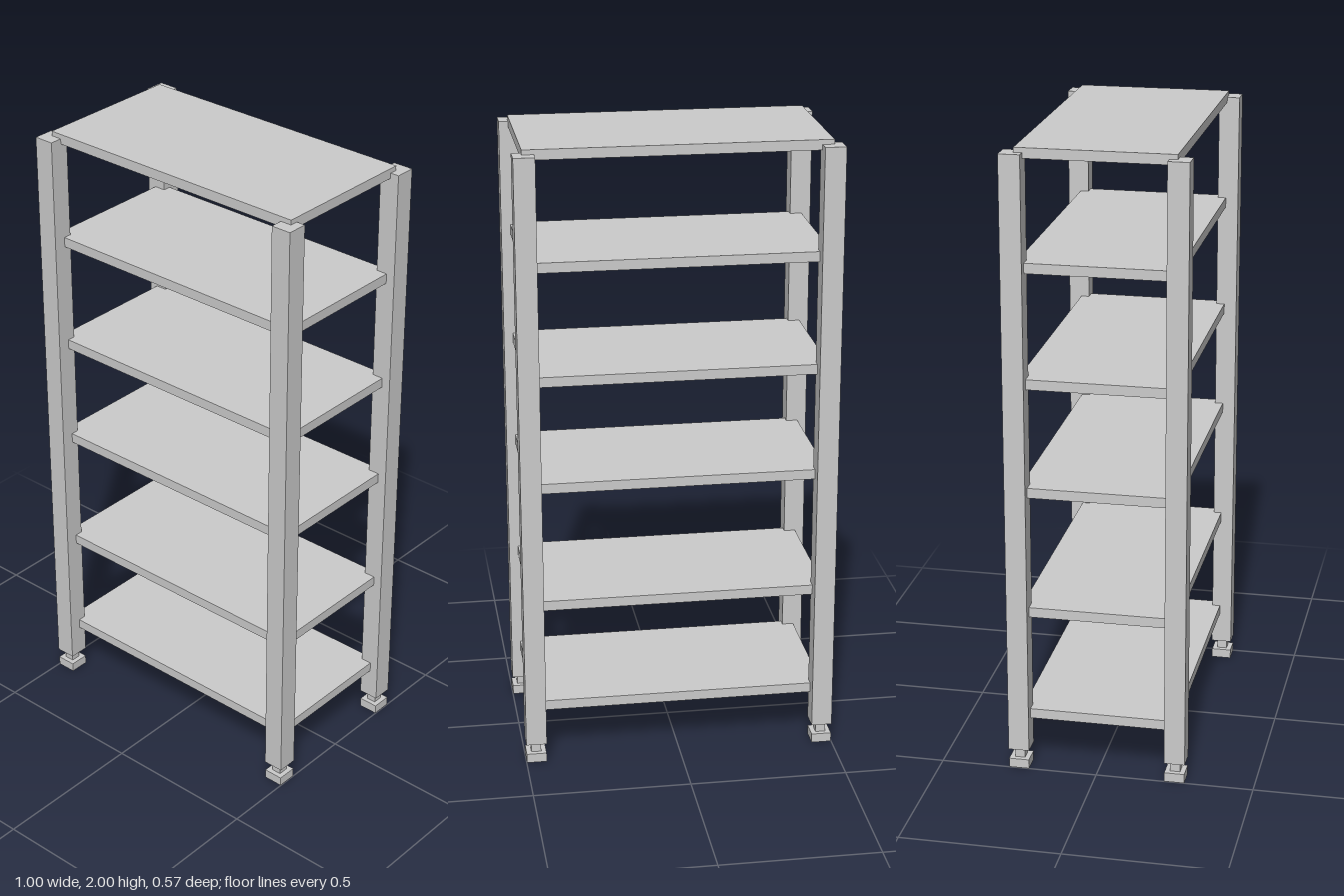
import * as THREE from 'three';

export function createModel() {
  const group = new THREE.Group();
  const material = new THREE.MeshStandardMaterial({ color: 0xcccccc, flatShading: true });

  // Box placed by its bottom height
  function addBox(parent, name, [w, h, d], x, bottom, z) {
    const mesh = new THREE.Mesh(new THREE.BoxGeometry(w, h, d), material);
    mesh.name = name;
    mesh.position.set(x, bottom + h / 2, z);
    parent.add(mesh);
  }

  // Shelf boards, let into the corner posts
  const thickness = 0.032;
  const shelfTops = [0.197, 0.545, 0.942, 1.291, 1.653, 2.0];
  shelfTops.forEach((top, i) => {
    addBox(group, `shelf${i + 1}`, [0.942, thickness, 0.486], 0, top - thickness, 0);
  });

  // Four corner legs, each with a post and an adjustable foot
  const postWidth = 0.066;
  for (const sx of [-1, 1]) {
    for (const sz of [-1, 1]) {
      const leg = new THREE.Group();
      leg.name = `${sz > 0 ? 'front' : 'back'}${sx > 0 ? 'Left' : 'Right'}Leg`;
      leg.position.set(sx * (0.5 - postWidth / 2), 0, sz * (0.283 - postWidth / 2));
      addBox(leg, 'post', [postWidth, 1.922, postWidth], 0, 0.063, 0);
      addBox(leg, 'footStem', [0.032, 0.033, 0.032], 0, 0.03, 0);
      addBox(leg, 'footPad', [0.064, 0.03, 0.064], 0, 0, 0);
      group.add(leg);
    }
  }
  return group;
}
